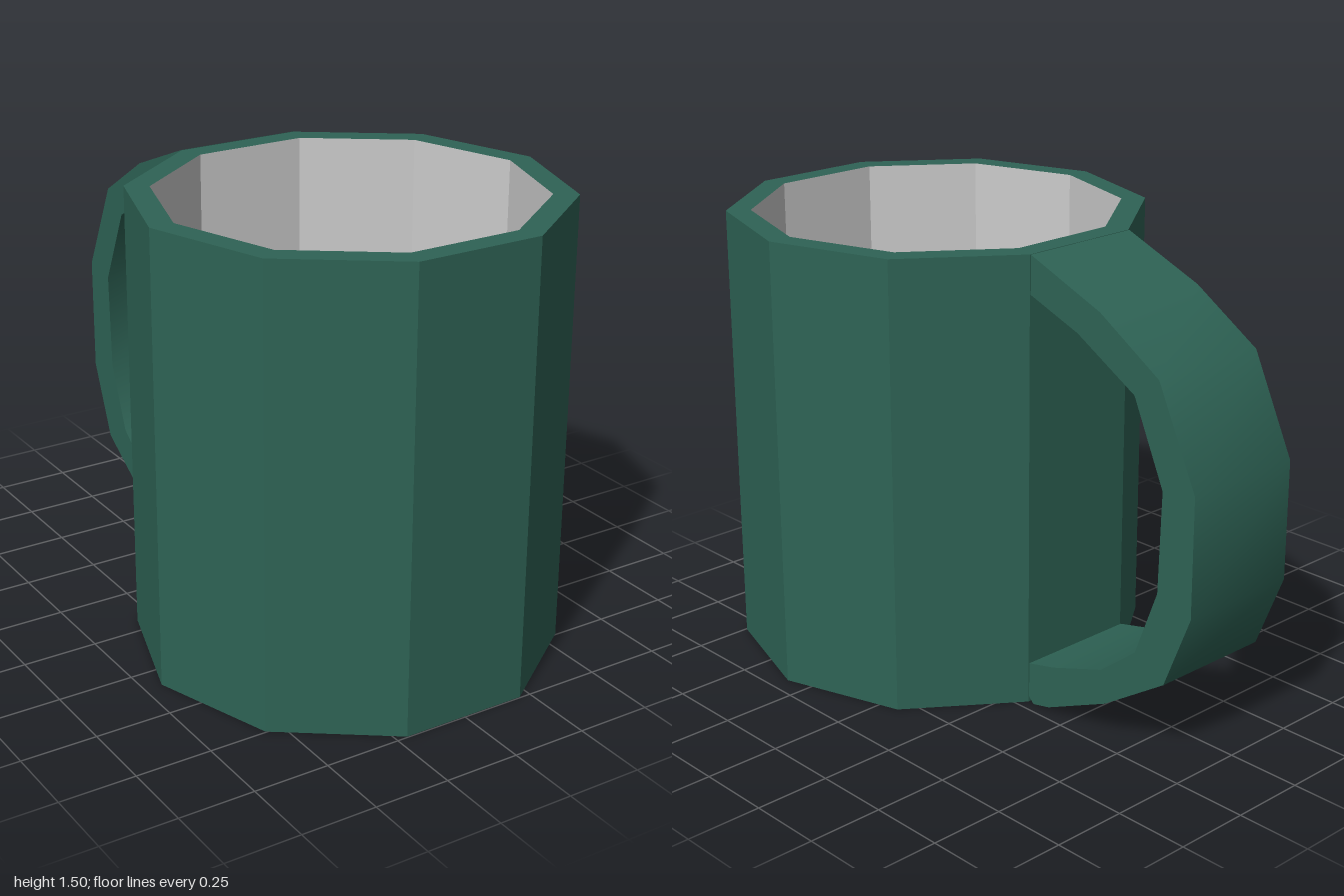
import * as THREE from 'three';
import { toCreasedNormals } from 'three/addons/utils/BufferGeometryUtils.js';

const SIDES = 10, OUTER = 0.69, INNER = 0.61, HEIGHT = 1.5, FLOOR = 0.1, CENTRE_Z = 0.34;
const green = new THREE.MeshStandardMaterial({ color: 0x2e6355 });
const greenFlat = new THREE.MeshStandardMaterial({ color: 0x2e6355, flatShading: true });
const grey = new THREE.MeshStandardMaterial({ color: 0xcccccc });
const greyFlat = new THREE.MeshStandardMaterial({ color: 0xcccccc, flatShading: true });

// Ten-sided turned surface with corners on the x axis
function turned(profile) {
  const points = profile.map(([r, y]) => new THREE.Vector2(r, y));
  return new THREE.LatheGeometry(points, SIDES, Math.PI / 2);
}

// Flat floor whose shading softens into the wall of each side
function floorGeometry() {
  const geometry = new THREE.CircleGeometry(INNER, SIDES).rotateX(-Math.PI / 2).toNonIndexed();
  const position = geometry.attributes.position, normal = geometry.attributes.normal;
  const n = new THREE.Vector3();
  for (let i = 0; i < position.count; i++) {
    const angle = (Math.floor(i / 3) + 0.5) * 2 * Math.PI / SIDES;
    const atRim = Math.hypot(position.getX(i), position.getZ(i)) > 0.1;
    if (atRim) n.set(-Math.cos(angle), 1, Math.sin(angle)).normalize();
    else n.set(0, 1, 0);
    normal.setXYZ(i, n.x, n.y, n.z);
  }
  return geometry;
}

// D-shaped band, drawn as [distance back, height] and extruded sideways
function handleGeometry() {
  const outerEdge = [[0.32, 1.5], [0.61, 1.385], [0.85, 1.235], [1, 0.92], [1, 0.53],
    [0.9, 0.28], [0.66, 0.125], [0.41, 0.015], [0.34, 0], [0.32, 0.02]];
  const innerEdge = [[0.32, 0.14], [0.43, 0.165], [0.64, 0.235], [0.78, 0.345], [0.865, 0.57],
    [0.875, 0.9], [0.755, 1.165], [0.52, 1.3], [0.32, 1.375]];
  const shape = new THREE.Shape([...outerEdge, ...innerEdge].map(([b, y]) => new THREE.Vector2(b, y)));
  const width = 2 * OUTER * Math.sin(Math.PI / SIDES);
  const geometry = new THREE.ExtrudeGeometry(shape, { depth: width, bevelEnabled: false });
  geometry.translate(0, 0, -width / 2).rotateY(Math.PI / 2);
  return toCreasedNormals(geometry, 0.7);
}

export function createModel() {
  const group = new THREE.Group();
  group.name = 'mug';
  const add = (name, geometry, material, y = 0, z = CENTRE_Z) => {
    const mesh = new THREE.Mesh(geometry, material);
    mesh.name = name;
    mesh.position.set(0, y, z);
    group.add(mesh);
  };

  // Base, outside wall and rim
  add('body', turned([[0, 0], [OUTER, 0], [OUTER, HEIGHT], [INNER, HEIGHT]]), greenFlat);
  // Pale inside
  add('insideWall', turned([[INNER, HEIGHT], [INNER, FLOOR]]), greyFlat);
  add('insideFloor', floorGeometry(), grey, FLOOR);
  // Handle at the back
  add('handle', handleGeometry(), green, 0, 0);
  return group;
}
